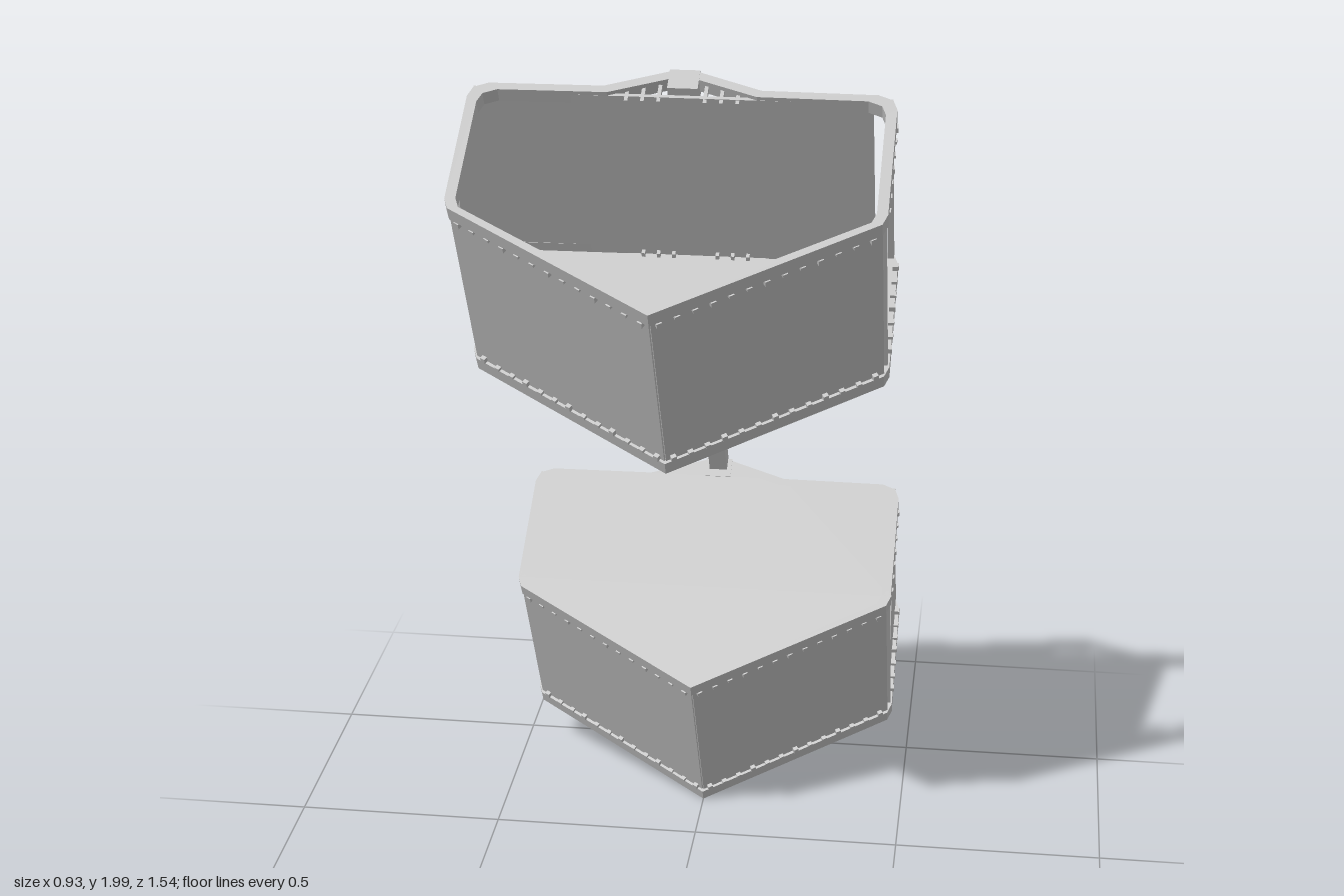
import * as THREE from 'three';

const steel = new THREE.MeshStandardMaterial({ color: 0xc4c4c4, side: THREE.DoubleSide });
steel.name = 'light grey steel';

const HEIGHT = 0.525;   // distance between the two rims of a basket
const RAIL = 0.034;     // rim height

// Six-sided outline with chamfered back corners and a peak at the back, as [x, back]
const half = [[0.452, 0.268], [0.462, 0.295], [0.462, 0.595], [0.452, 0.622], [0.42, 0.636], [0.17, 0.638], [0.03, 0.688]];
const outline = [[0, 0], ...half, ...half.map(([x, b]) => [-x, b]).reverse()];

function add(parent, name, geometry) {
  const mesh = new THREE.Mesh(geometry, steel);
  mesh.name = name;
  parent.add(mesh);
  return mesh;
}

function box(parent, name, w, h, d, x, y, z) {
  const mesh = add(parent, name, new THREE.BoxGeometry(w, h, d));
  mesh.position.set(x, y, z);
  return mesh;
}

const toShape = (pts) => new THREE.Shape(pts.map(([x, y]) => new THREE.Vector2(x, y)));
const extrude = (shape, depth) => new THREE.ExtrudeGeometry(shape, { depth, bevelEnabled: false });

// Upright sheet from floor point p to q, each [x, back]
function wall(parent, name, p, q, y0, y1, t = 0.008) {
  const dx = q[0] - p[0], db = q[1] - p[1];
  const m = box(parent, name, Math.hypot(dx, db), y1 - y0, t, (p[0] + q[0]) / 2, (y0 + y1) / 2, -(p[1] + q[1]) / 2);
  m.rotation.y = Math.atan2(db, dx);
  return m;
}

// Six-sided basket: plate at y = 0, open at y = HEIGHT
function basket(name, sidePanel) {
  const g = new THREE.Group();
  g.name = name;

  // Closed end plate
  add(g, 'endPlate', extrude(toShape(outline), 0.008).rotateX(-Math.PI / 2));

  // Rims at both ends
  const rim = toShape(outline);
  rim.holes.push(new THREE.Path(outline.map(([x, b]) => new THREE.Vector2(x * 0.95, 0.34 + (b - 0.34) * 0.935))));
  for (const y of [0, HEIGHT - RAIL]) {
    add(g, 'rim', extrude(rim, RAIL).rotateX(-Math.PI / 2)).position.y = y;
  }

  // Front and back sheets; the back one stops short of the open side
  for (const s of [-1, 1]) {
    wall(g, 'frontPanel', [0, 0.012], [s * 0.45, 0.28], 0.01, HEIGHT - 0.01);
  }
  wall(g, 'backPanel', [-0.44, 0.622], [0.41, 0.622], 0.01, HEIGHT - 0.01);

  // Torn sheet on one side, points are [back, height]
  add(g, 'sidePanel', extrude(toShape(sidePanel), 0.006).rotateY(Math.PI / 2)).position.x = -0.452;

  // Thin posts and corner strips
  for (const s of [-1, 1]) {
    box(g, 'frontPost', 0.012, HEIGHT, 0.012, s * 0.452, HEIGHT / 2, -0.305);
    box(g, 'backPost', 0.014, HEIGHT, 0.014, s * 0.445, HEIGHT / 2, -0.618);
    // Braces under the back peak
    for (const y of [RAIL / 2, HEIGHT - RAIL / 2]) {
      for (const x of [0.05, 0.085, 0.12]) {
        box(g, 'peakBrace', 0.008, 0.012, 0.05, s * x, y, -0.632);
      }
    }
  }

  // Spine along the back with collars at both ends
  box(g, 'spine', 0.046, HEIGHT, 0.044, 0, HEIGHT / 2, -0.666);
  for (const y of [0.024, HEIGHT - 0.024]) {
    box(g, 'spineCollar', 0.066, 0.05, 0.056, 0, y, -0.664);
  }

  // Small clips that hold the sheets to the rims
  const runs = [[[0, 0.004], [0.45, 0.272]], [[0.458, 0.32], [0.458, 0.6]], [[0.42, 0.632], [0.17, 0.632]]];
  for (const s of [-1, 1]) {
    for (const [p, q] of runs) {
      const d = [q[0] - p[0], q[1] - p[1]];
      const len = Math.hypot(...d), n = Math.round(len / 0.04);
      for (let i = 0; i < n; i++) {
        const t = (i + 0.5) / n, w = 0.006 / len;
        const at = (u) => [s * (p[0] + d[0] * u), p[1] + d[1] * u];
        const long = i % 3 === 0 ? 0.014 : 0.008;
        wall(g, 'clip', at(t - w), at(t + w), RAIL, RAIL + long, 0.014);
        wall(g, 'clip', at(t - w), at(t + w), HEIGHT - RAIL - long, HEIGHT - RAIL, 0.014);
      }
    }
  }
  return g;
}

// Bar between two points in the side plane, each [z, y]
function bar(parent, name, a, b, width, thick, x = 0) {
  const dz = b[0] - a[0], dy = b[1] - a[1];
  const m = box(parent, name, width, Math.hypot(dz, dy), thick, x, (a[1] + b[1]) / 2, (a[0] + b[0]) / 2);
  m.rotation.x = Math.atan2(dz, dy);
  return m;
}

function pin(parent, z, y, r = 0.011, length = 0.07) {
  const m = add(parent, 'pin', new THREE.CylinderGeometry(r, r, length, 8).rotateZ(Math.PI / 2));
  m.position.set(0, y, z);
}

// Jointed arm that joins the two baskets
function linkage() {
  const g = new THREE.Group();
  g.name = 'linkage';
  const path = [[-0.06, 1.54], [-0.172, 1.335], [-0.163, 1.145], [-0.215, 1.095], [-0.37, 1.0], [-0.5, 0.785]];
  path.slice(1).forEach((b, i) => {
    const a = path[i];
    const solid = i === 0 || i === 4;
    if (solid) {
      bar(g, 'arm', a, b, 0.044, 0.04);
    } else {
      for (const s of [-1, 1]) bar(g, 'linkPlate', a, b, 0.009, 0.042, s * 0.023);
    }
    for (const t of solid ? [0.3, 0.65] : [0.5]) {
      pin(g, a[0] + (b[0] - a[0]) * t, a[1] + (b[1] - a[1]) * t, 0.006, 0.058);
    }
    if (i < 4) pin(g, b[0], b[1], 0.018, 0.06);
  });
  pin(g, -0.2, 1.11, 0.02, 0.066);

  // Levers standing off the links
  bar(g, 'lever', [-0.13, 1.275], [-0.238, 1.265], 0.03, 0.014);
  bar(g, 'leverStop', [-0.205, 1.29], [-0.212, 1.25], 0.05, 0.012);
  bar(g, 'lever', [-0.31, 1.0], [-0.342, 1.085], 0.03, 0.014);
  bar(g, 'leverStop', [-0.35, 1.055], [-0.31, 1.045], 0.05, 0.012);
  bar(g, 'leverFoot', [-0.285, 0.995], [-0.335, 0.98], 0.04, 0.018);
  return g;
}

export function createModel() {
  const model = new THREE.Group();
  model.name = 'twinBaskets';
  const tilt = Math.PI / 6;

  // Upper basket opens upward
  const upper = basket('upperBasket', [[0.283, 0.27], [0.36, 0.5], [0.62, 0.5], [0.62, 0.03], [0.54, 0.07]]);
  upper.position.set(0, 1.195, 0.513);
  upper.rotation.x = tilt;

  // Lower basket is turned over and opens downward
  const lower = basket('lowerBasket', [[0.3, 0.5], [0.62, 0.5], [0.62, 0.04]]);
  lower.position.set(0, 0.459, 0.095);
  lower.rotation.set(tilt, 0, Math.PI);

  model.add(upper, lower, linkage());
  return model;
}
